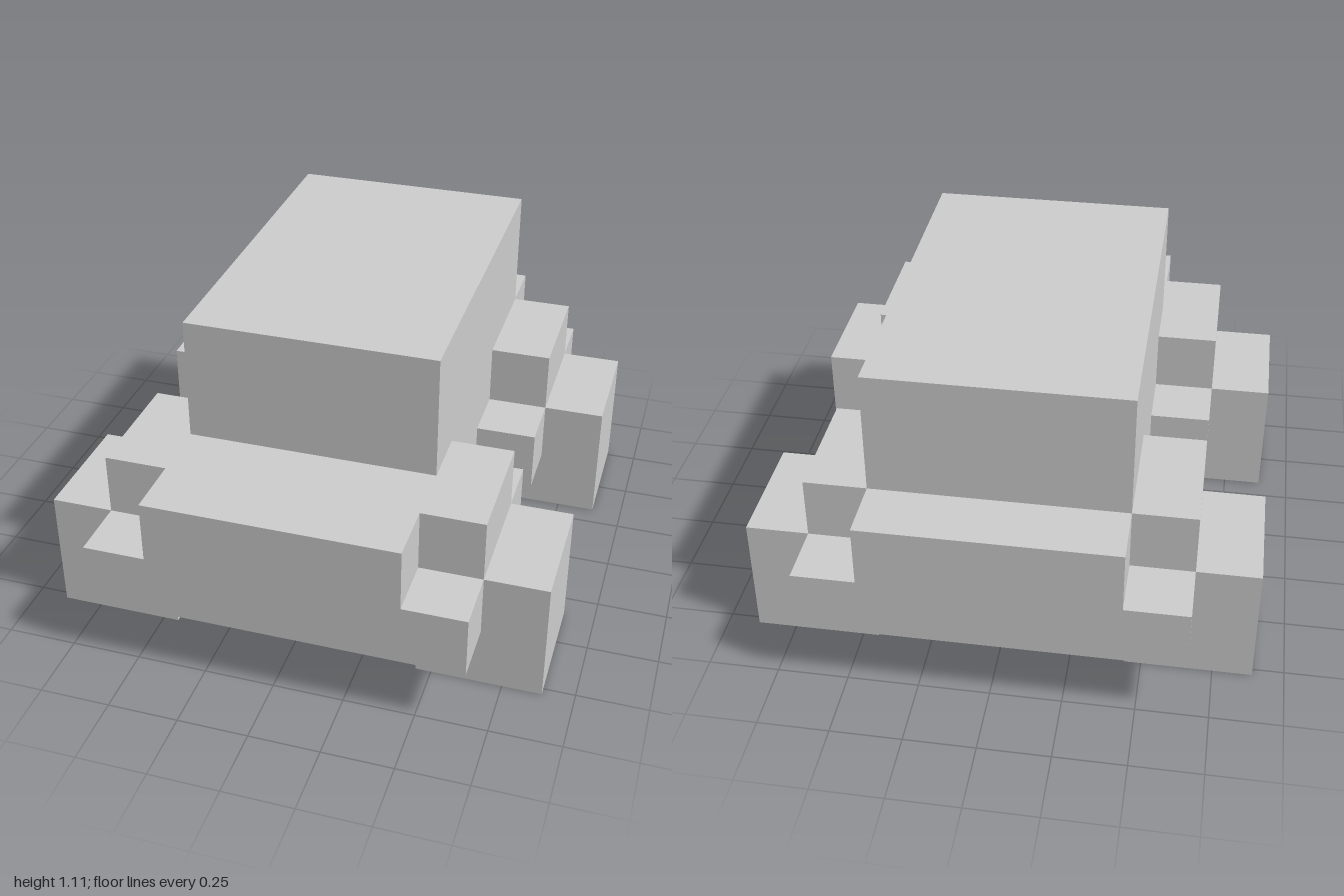
import * as THREE from 'three';

const U = 2 / 9; // block unit: the model is 9 units long

export function createModel() {
  const model = new THREE.Group();
  model.name = 'blockCar';
  const material = new THREE.MeshStandardMaterial({ color: 0xcccccc, flatShading: true });

  const add = (name, geometry, x, y, z) => {
    const mesh = new THREE.Mesh(geometry, material);
    mesh.name = name;
    mesh.position.set(x * U, y * U, z * U);
    model.add(mesh);
    return mesh;
  };

  // Slab one unit high whose plan is given for x > 0, z > 0 and mirrored to all quarters
  const slab = (name, quarter, y) => {
    const back = [...quarter].reverse();
    const plan = [
      ...quarter,
      ...back.map(([x, z]) => [-x, z]),
      ...quarter.map(([x, z]) => [-x, -z]),
      ...back.map(([x, z]) => [x, -z]),
    ];
    const shape = new THREE.Shape(plan.map(([x, z]) => new THREE.Vector2(x * U, z * U)));
    const geometry = new THREE.ExtrudeGeometry(shape, { depth: U, bevelEnabled: false });
    geometry.rotateX(-Math.PI / 2);
    add(name, geometry, 0, y, 0);
  };

  // Lower body with a narrow waist between the fenders
  slab('lowerBody', [[2, 0.5], [3, 0.5], [3, 4.5]], 1);

  // Upper body with fender tops above the wheels
  slab('upperBody', [[2, 1.5], [3, 1.5], [3, 3.5], [2, 3.5], [2, 4.5]], 2);

  // Cabin, set towards the back
  add('cabin', new THREE.BoxGeometry(4 * U, 2 * U, 6 * U), 0, 4, -0.5);

  // Four cube wheels
  const wheel = new THREE.BoxGeometry(2 * U, 2 * U, 2 * U);
  for (const [side, x] of [['Left', 3], ['Right', -3]]) {
    for (const [end, z] of [['front', 2.5], ['back', -2.5]]) {
      add(`${end}${side}Wheel`, wheel, x, 1, z);
    }
  }

  return model;
}
